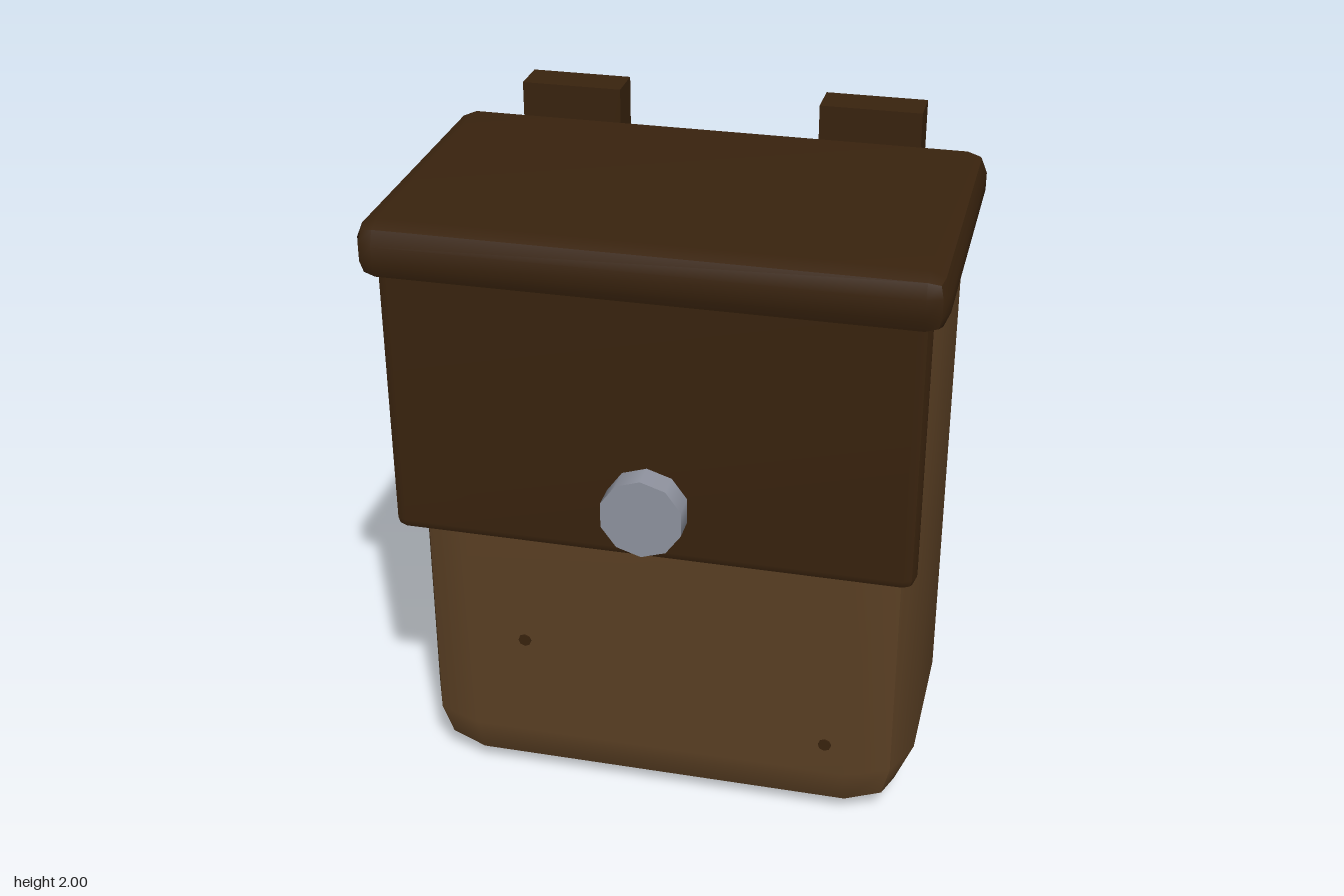
import * as THREE from 'three';

const mat = (name, color) => {
  const m = new THREE.MeshStandardMaterial({ color });
  m.name = name;
  return m;
};

// Box between two corners with two-step rounded edges: each side is smooth
// within itself and keeps a hard line where it meets the next side.
function roundedBox(min, max, r) {
  const geo = new THREE.BoxGeometry(1, 1, 1, 3, 3, 3);
  const pos = geo.attributes.position;
  const lo = new THREE.Vector3(...min), hi = new THREE.Vector3(...max);
  const centre = lo.clone().add(hi).multiplyScalar(0.5);
  const core = hi.clone().sub(lo).multiplyScalar(0.5).subScalar(r);
  const p = new THREE.Vector3(), n = new THREE.Vector3();
  for (let i = 0; i < pos.count; i++) {
    p.fromBufferAttribute(pos, i);
    n.set(...p.toArray().map((v) => (Math.abs(v) > 0.4 ? Math.sign(v) : 0))).normalize();
    p.set(Math.sign(p.x), Math.sign(p.y), Math.sign(p.z));
    p.multiply(core).addScaledVector(n, r).add(centre);
    pos.setXYZ(i, p.x, p.y, p.z);
  }
  geo.computeVertexNormals();
  return geo;
}

export function createModel() {
  const leather = mat('brown leather', 0x5b4024);
  const darkLeather = mat('dark leather', 0x39230e);
  const metal = mat('grey metal', 0x9094a0);
  const group = new THREE.Group();
  group.name = 'backpack';

  const add = (name, geo, material, x = 0, y = 0, z = 0) => {
    const mesh = new THREE.Mesh(geo, material);
    mesh.name = name;
    mesh.position.set(x, y, z);
    group.add(mesh);
    return mesh;
  };

  // Main bag, lid and front flap
  add('body', roundedBox([-0.77, 0, -0.45], [0.77, 1.87, 0.39], 0.19), leather);
  add('lid', roundedBox([-0.812, 1.735, -0.46], [0.812, 1.908, 0.522], 0.06), darkLeather);
  add('flap', roundedBox([-0.767, 0.928, 0.39], [0.767, 1.82, 0.477], 0.035), darkLeather);

  // Round clasp on the flap
  const disc = (radius, depth, sides) =>
    new THREE.CylinderGeometry(radius, radius, depth, sides).rotateX(Math.PI / 2);
  add('clasp', disc(0.122, 0.1, 10), metal, 0, 1.11, 0.505);

  // Shoulder straps on the back
  for (const [side, name] of [[1, 'leftStrap'], [-1, 'rightStrap']]) {
    add(name, new THREE.BoxGeometry(0.306, 1.533, 0.121), darkLeather, side * 0.458, 1.2335, -0.4945);
  }

  // Small dark spots on the leather
  for (const [x, y, z] of [[-0.41, 0.53, 0.39], [0.52, 0.295, 0.39], [-0.53, 0.3, -0.45]]) {
    add('spot', disc(0.02, 0.008, 8), darkLeather, x, y, z);
  }

  return group;
}
